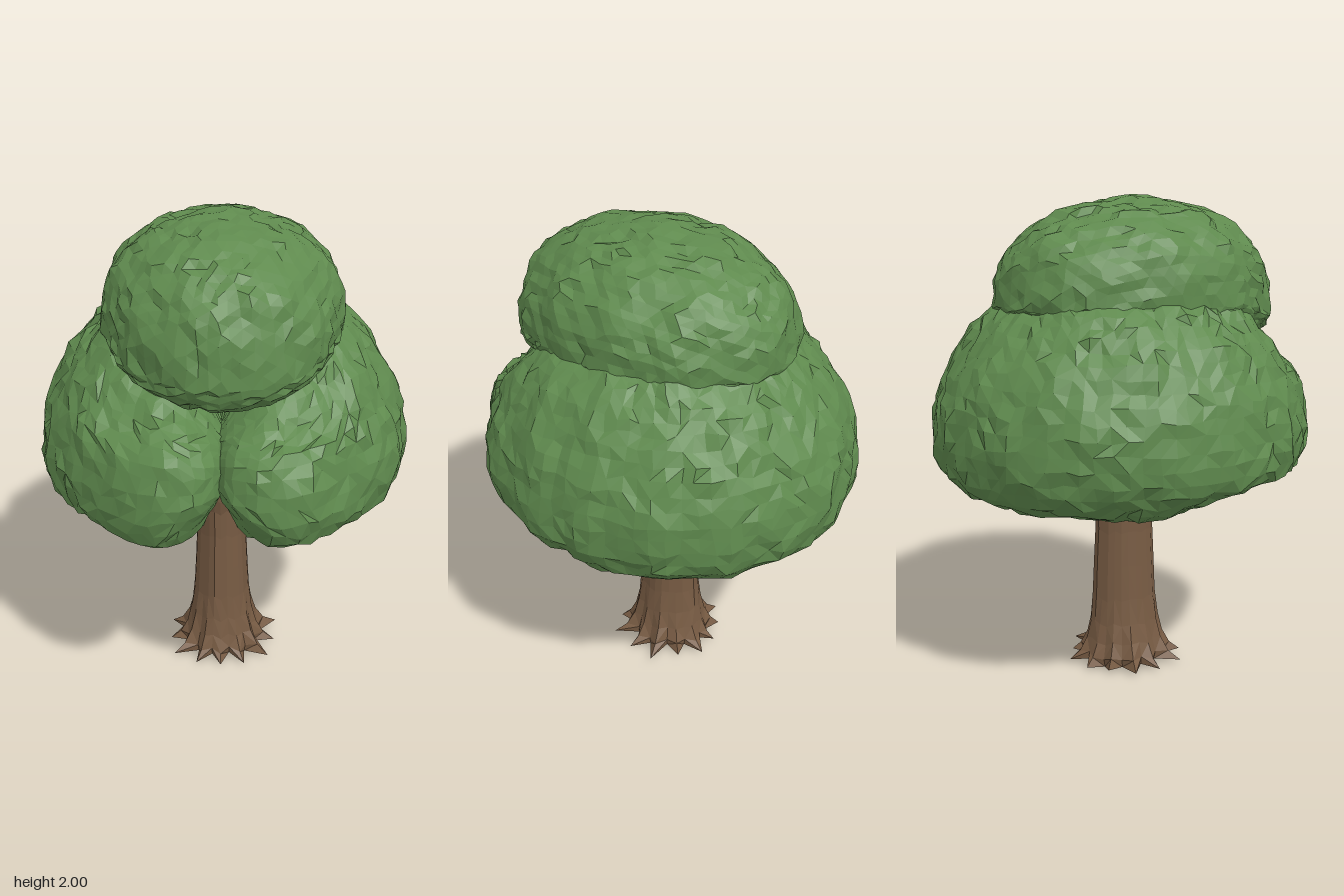
import * as THREE from 'three';
import { mergeVertices } from 'three/addons/utils/BufferGeometryUtils.js';

const V = (x, y, z) => new THREE.Vector3(x, y, z);
const smooth = THREE.MathUtils.smoothstep;

// Small seeded generator, returns -1..1
let seed = 1;
function rand() {
  seed = (seed * 16807) % 2147483647;
  return (seed / 2147483647) * 2 - 1;
}

// Skin closed loops of points; the diagonals vary for an irregular faceted surface
function loft(rings) {
  const m = rings[0].length, index = [];
  for (let i = 0; i < rings.length - 1; i++) {
    for (let j = 0; j < m; j++) {
      const k = (j + 1) % m;
      const a = i * m + j, b = a + m, c = i * m + k, d = c + m;
      if (rand() > 0) index.push(a, b, c, b, d, c);
      else index.push(a, b, d, a, d, c);
    }
  }
  const g = new THREE.BufferGeometry().setFromPoints(rings.flat());
  g.setIndex(index);
  g.computeVertexNormals();
  return g;
}

// Soft lumps plus fine jitter for leafy surfaces
function ruffle(p, jitter, amount = 1) {
  const lump = Math.sin(21 * p.x + 4 * p.y) * Math.sin(19 * p.y + 2) + Math.sin(23 * p.z + 9 * p.x);
  const out = V(p.x, (p.y - 1.2) * 0.6, p.z).normalize();
  p.addScaledVector(out, 0.006 * lump * amount);
  return p.add(V(rand(), rand(), rand()).multiplyScalar(jitter * amount));
}

// Horseshoe of foliage running round the back, ending in two rounded front lobes
function lowerCanopy() {
  // radius (fraction of the outline) and height
  const profile = [
    [0.2, 0.9], [0.42, 0.815], [0.7, 0.795], [0.9, 0.86], [0.99, 1.0], [0.975, 1.17],
    [0.865, 1.37], [0.68, 1.55], [0.45, 1.63], [0.27, 1.55], [0.2, 1.25],
  ].map(([r, y]) => V(r, y, 0));
  const section = new THREE.CatmullRomCurve3(profile, true).getSpacedPoints(46).slice(0, 46);
  const capSteps = 9, midSteps = 76, cap = 0.36, start = -0.05;
  const stations = [];
  for (let i = 0; i <= capSteps; i++) {
    const phi = (i / capSteps) * Math.PI / 2;
    stations.push([start + cap * (1 - Math.cos(phi)), Math.sin(phi)]);
  }
  const from = start + cap, to = 2 * Math.PI - from;
  for (let i = 1; i < midSteps; i++) stations.push([from + (to - from) * i / midSteps, 1]);
  for (let i = capSteps; i >= 0; i--) stations.push([2 * Math.PI - stations[i][0], stations[i][1]]);

  const rings = stations.map(([angle, s]) => section.map((p) => {
    const r = 0.56 + (p.x - 0.56) * s;
    let y = 1.12 + (p.y - 1.12) * s;
    // front lobes are flatter below and lower on top
    const c = Math.cos(angle);
    y += smooth(c, -0.35, 0.35) * Math.max(0, 0.91 - y) * 0.85;
    y -= 0.12 * smooth(c, 0.6, 0.97) * smooth(y, 1.2, 1.5);
    // the lobes part above and below the place where they touch
    const side = Math.sign(Math.PI - angle);
    const part = 0.13 * smooth(y, 1.2, 1.4) + 0.09 * smooth(1.1 - y, 0, 0.16);
    const a = angle + side * part * smooth(c, 0.55, 0.97);
    const depth = 0.8 + 0.04 * smooth(c, 0.7, 0.95);
    return ruffle(V(Math.sin(a) * r * 0.76, y, Math.cos(a) * r * depth), 0.01, s);
  }));
  return loft(rings);
}

// Domed top mass with a level rim, hanging lower at the front
function crown() {
  let g = new THREE.IcosahedronGeometry(1, 12);
  g.deleteAttribute('normal');
  g.deleteAttribute('uv');
  g = mergeVertices(g, 1e-4);
  const pos = g.attributes.position, p = V(0, 0, 0);
  for (let i = 0; i < pos.count; i++) {
    p.fromBufferAttribute(pos, i);
    const low = 1 - smooth(p.y, -0.1, 0.7);
    const lift = p.y > 0 ? 0.415 * Math.pow(p.y, 0.83) : p.y * (0.12 + 0.11 * smooth(p.z, -0.3, 0.6));
    const y = 1.575 + lift - 0.07 * low * smooth(p.z, 0.3, 1);
    p.set(p.x * 0.477, y, 0.075 + p.z * 0.615);
    ruffle(p, 0.009);
    pos.setXYZ(i, p.x, p.y, p.z);
  }
  g.computeVertexNormals();
  return g;
}

// Tapering trunk with pointed root tips at the foot and a flare under the leaves
function trunk() {
  const sides = 26;
  const levels = [
    [0, 0.01], [0.13, 0.01], [0.2, 0.015], [0.178, 0.05], [0.152, 0.11], [0.134, 0.19],
    [0.12, 0.3], [0.112, 0.45], [0.106, 0.6], [0.108, 0.72], [0.122, 0.79],
    [0.155, 0.86], [0.205, 0.92], [0.19, 0.95], [0, 0.96],
  ];
  const groove = Array.from({ length: sides }, () => rand());
  const rings = levels.map(([r, y], i) => Array.from({ length: sides }, (_, j) => {
    const a = (j / sides) * Math.PI * 2;
    const root = j % 2 ? -0.22 : 0.2 + 0.15 * groove[j];
    const k = r * (1 + 0.035 * groove[j] + root * ([0, 0.5, 1, 0.4, 0.2, 0.1][i] ?? 0));
    const deep = THREE.MathUtils.lerp(1.08, 1.22, Math.min(1, y / 0.4));
    const h = i === 0 || y > 0.95 ? y : Math.max(0, y + 0.012 * groove[(j * 7) % sides]);
    return V(-0.01 - Math.sin(a) * k, h, 0.015 + Math.cos(a) * k * (y > 0.85 ? 1 : deep));
  }));
  return loft(rings);
}

// Short limb rising from the trunk into the foliage
function limb(angle, reach, top) {
  const dx = Math.sin(angle), dz = Math.cos(angle);
  const path = new THREE.CatmullRomCurve3([
    V(dx * 0.02, 0.74, 0.02 + dz * 0.02), V(dx * 0.12, 0.87, 0.02 + dz * 0.12),
    V(dx * reach * 0.65, 0.87 + (top - 0.87) * 0.4, dz * reach * 0.65), V(dx * reach, top, dz * reach),
  ]);
  const rings = path.getPoints(9).map((c, i) => Array.from({ length: 9 }, (_, j) => {
    const a = (j / 9) * Math.PI * 2, r = 0.07 - 0.005 * i + 0.004 * rand();
    return V(c.x - Math.sin(a) * r, c.y, c.z + Math.cos(a) * r);
  }));
  return loft(rings);
}

export function createModel() {
  seed = 4217;
  const tree = new THREE.Group();
  tree.name = 'tree';
  const leaf = new THREE.MeshStandardMaterial({ color: 0x5f8a4e, flatShading: true });
  const bark = new THREE.MeshStandardMaterial({ color: 0x775b43, flatShading: true });
  const add = (name, geometry, material, parent = tree) => {
    const mesh = new THREE.Mesh(geometry, material);
    mesh.name = name;
    parent.add(mesh);
  };

  add('trunk', trunk(), bark);

  const limbs = new THREE.Group();
  limbs.name = 'limbs';
  tree.add(limbs);
  [[0.75, 0.4, 1.08], [1.65, 0.42, 1.0], [2.7, 0.4, 1.08], [3.8, 0.4, 1.08], [4.7, 0.42, 1.05], [5.5, 0.4, 1.08]]
    .forEach((spec) => add('limb', limb(...spec), bark, limbs));

  add('lowerCanopy', lowerCanopy(), leaf);
  add('crown', crown(), leaf);
  return tree;
}
